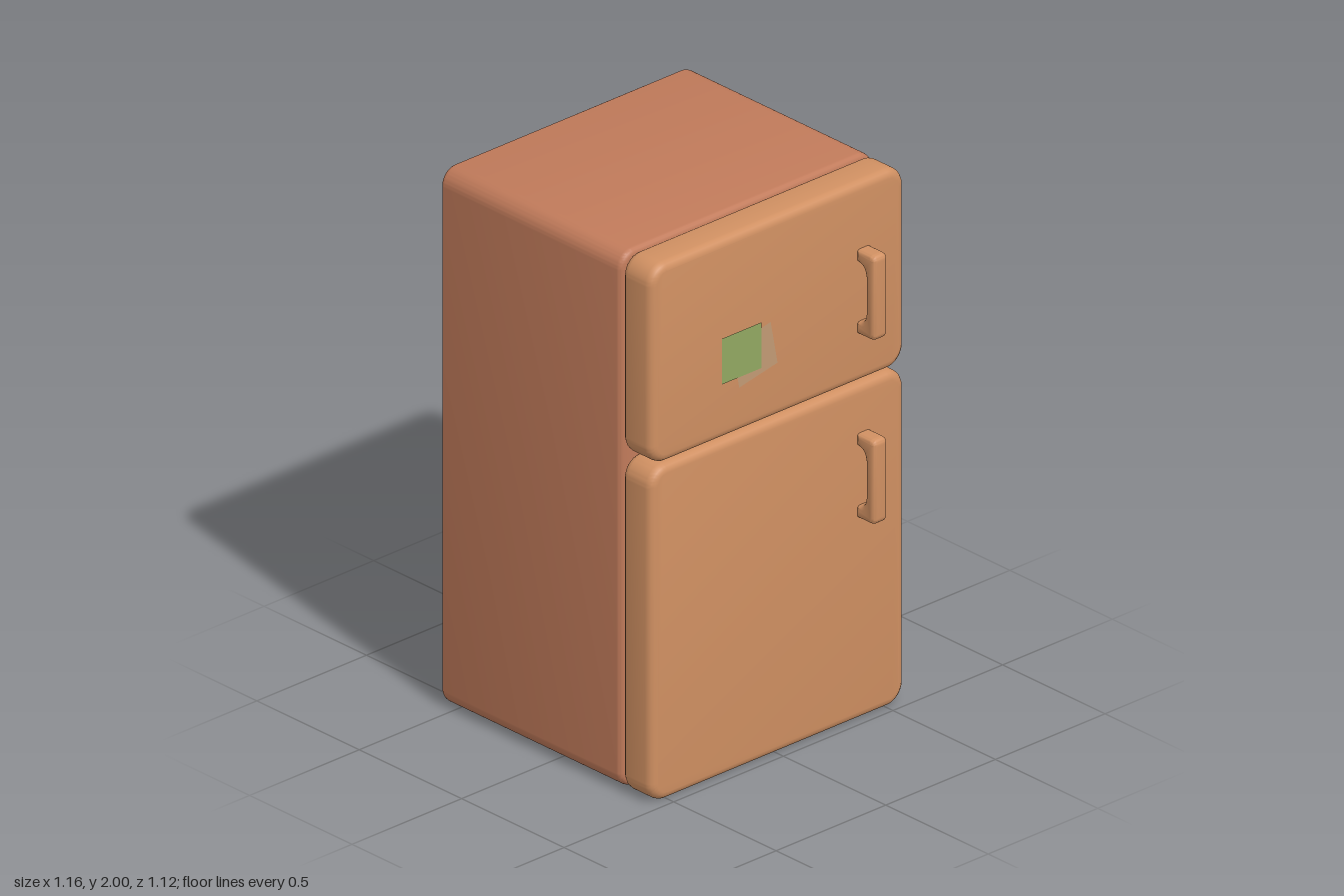
import * as THREE from 'three';
import { toCreasedNormals } from 'three/addons/utils/BufferGeometryUtils.js';

const mat = (color, extra = {}) => new THREE.MeshStandardMaterial({ color, ...extra });

// Extrusion of a shape, bevelled inwards so that its outline and depth stay exact
function bevelled(shape, depth, bevel) {
  const geo = new THREE.ExtrudeGeometry(shape, {
    depth: depth - 2 * bevel, bevelEnabled: true, bevelThickness: bevel,
    bevelSize: bevel, bevelOffset: -bevel, bevelSegments: 4, curveSegments: 8,
  });
  geo.translate(0, 0, bevel);
  return toCreasedNormals(geo, 0.6);
}

// Upright slab with rounded corners, x from -w/2 to w/2
function slab(name, w, y0, y1, z0, z1, radius, bevel, material) {
  const s = new THREE.Shape(), x = w / 2, r = radius, q = Math.PI / 2;
  s.absarc(x - r, y1 - r, r, 0, q);
  s.absarc(-x + r, y1 - r, r, q, 2 * q);
  s.absarc(-x + r, y0 + r, r, 2 * q, 3 * q);
  s.absarc(x - r, y0 + r, r, 3 * q, 4 * q);
  s.closePath();
  const mesh = new THREE.Mesh(bevelled(s, z1 - z0, bevel), material);
  mesh.position.z = z0;
  mesh.name = name;
  return mesh;
}

// Pull handle: C-shaped side profile (u forward, v up) extruded sideways
function handle(name, y, material) {
  const h = 0.157, d = 0.09, c = 0.024;
  const s = new THREE.Shape();
  s.moveTo(0, -h);
  s.lineTo(d - c, -h);
  s.quadraticCurveTo(d, -h, d, -h + c);
  s.lineTo(d, h - c);
  s.quadraticCurveTo(d, h, d - c, h);
  s.lineTo(0, h);
  s.lineTo(0, 0.112);
  s.bezierCurveTo(0.035, 0.11, 0.046, 0.09, 0.046, 0.045);
  s.lineTo(0.046, -0.045);
  s.bezierCurveTo(0.046, -0.09, 0.035, -0.11, 0, -0.112);
  s.closePath();
  const geo = bevelled(s, 0.064, 0.016);
  geo.translate(0, 0, -0.032);
  geo.rotateY(-Math.PI / 2);
  const mesh = new THREE.Mesh(geo, material);
  mesh.position.set(0.39, y, 0.47);
  mesh.name = name;
  return mesh;
}

// Flat paper note on the upper door
function note(name, w, h, x, y, z, turn, material) {
  const mesh = new THREE.Mesh(new THREE.PlaneGeometry(w, h), material);
  mesh.position.set(x, y, z);
  mesh.rotation.z = turn;
  mesh.name = name;
  return mesh;
}

export function createModel() {
  const group = new THREE.Group();
  group.name = 'refrigerator';
  const bodyMat = mat(0xc07a5a), doorMat = mat(0xd09062);
  const thin = { side: THREE.DoubleSide };

  group.add(
    // Cabinet and two doors
    slab('cabinet', 1.155, 0.002, 2, -0.56, 0.325, 0.065, 0.022, bodyMat),
    slab('freezerDoor', 1.16, 1.257, 2, 0.33, 0.475, 0.075, 0.03, doorMat),
    slab('fridgeDoor', 1.16, 0, 1.248, 0.33, 0.475, 0.075, 0.03, doorMat),
    // Handles
    handle('freezerHandle', 1.597, doorMat),
    handle('fridgeHandle', 0.912, doorMat),
    // Notes
    note('paleNote', 0.178, 0.165, -0.108, 1.523, 0.477, 0.19, mat(0xc29a74, thin)),
    note('greenNote', 0.178, 0.17, -0.17, 1.55, 0.479, 0, mat(0x92a862, thin)),
  );
  return group;
}
